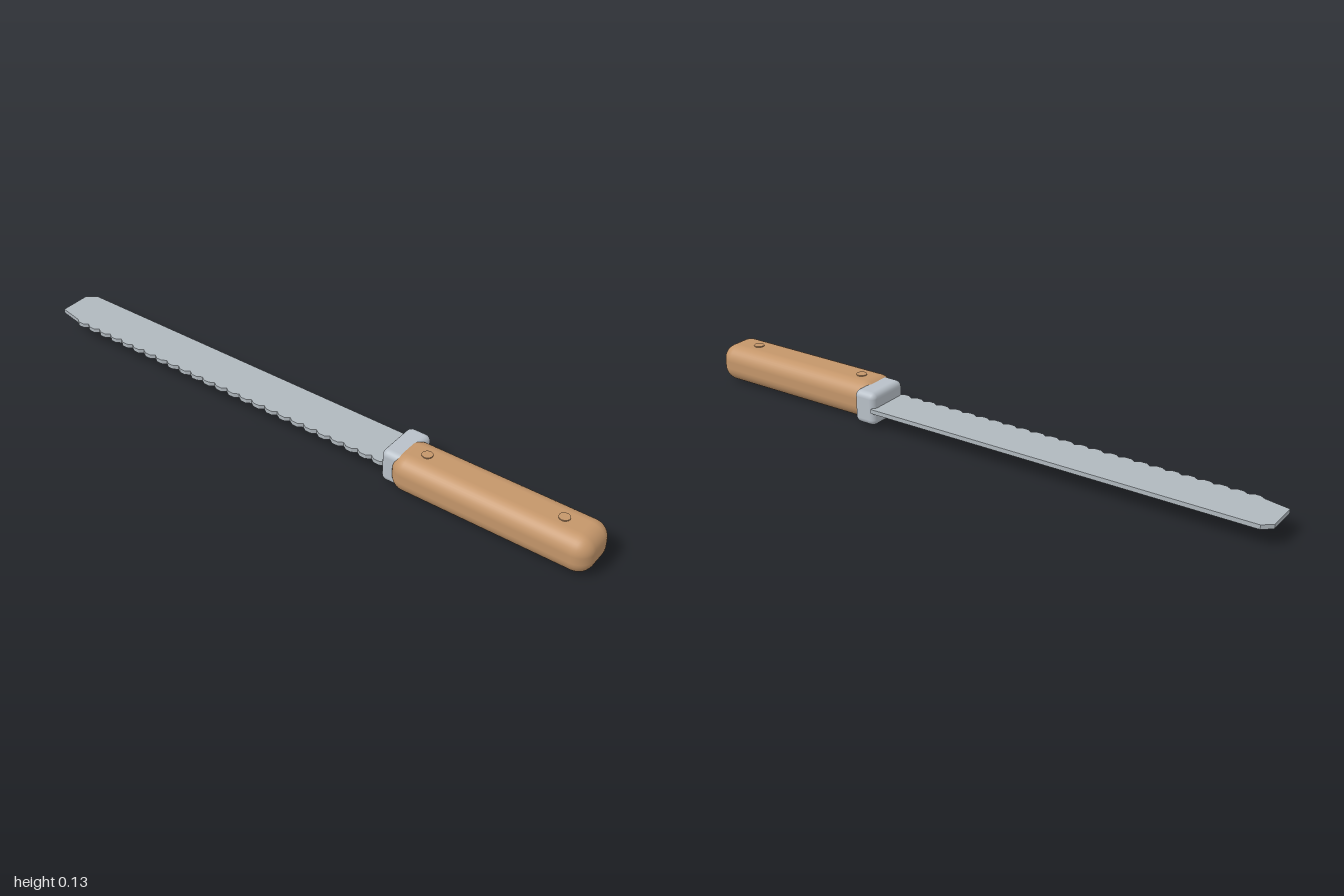
import * as THREE from 'three';
import { RoundedBoxGeometry } from 'three/addons/geometries/RoundedBoxGeometry.js';

const material = (name, color) => {
  const m = new THREE.MeshStandardMaterial({ color });
  m.name = name;
  return m;
};

export function createModel() {
  const group = new THREE.Group();
  group.name = 'breadKnife';
  const steel = material('blade steel', 0xb0b8be);
  const bolsterSteel = material('bolster steel', 0xb8c0c8);
  const wood = material('handle wood', 0xc4966a);
  const midY = 0.065;

  const add = (name, geometry, mat, x, y, z) => {
    const mesh = new THREE.Mesh(geometry, mat);
    mesh.name = name;
    mesh.position.set(x, y, z);
    group.add(mesh);
    return mesh;
  };

  // Blade outline as (x, z): straight spine, clipped tip, scalloped cutting edge
  const heel = 0.33, toothStart = -0.92, teeth = 25;
  const pitch = (heel - toothStart) / teeth;
  const outline = [[heel, -0.09], [-0.97, -0.09], [-1, -0.065], [-1, 0.037]];
  for (let i = 0; i < teeth; i++) {
    const x = toothStart + i * pitch;
    outline.push([x, 0.053], [x + pitch * 0.3, 0.063], [x + pitch * 0.7, 0.063]);
  }
  outline.push([heel, 0.053]);
  const shape = new THREE.Shape(outline.map(([x, z]) => new THREE.Vector2(x, -z)));
  const thickness = 0.014;
  const blade = new THREE.ExtrudeGeometry(shape, { depth: thickness, bevelEnabled: false });
  blade.rotateX(-Math.PI / 2);
  add('blade', blade, steel, 0, midY - thickness / 2, 0);

  // Bolster between blade and handle
  add('bolster', new RoundedBoxGeometry(0.08, 0.11, 0.152, 3, 0.02), bolsterSteel, 0.36, midY, -0.009);

  // Rounded wooden handle
  add('handle', new RoundedBoxGeometry(0.645, 0.124, 0.153, 4, 0.05), wood, 0.6775, midY, 0.0135);

  // Rivets passing through the handle
  for (const x of [0.445, 0.885]) {
    add('rivet', new THREE.CylinderGeometry(0.017, 0.017, 0.13, 16), wood, x, midY, 0.0135);
  }
  return group;
}
